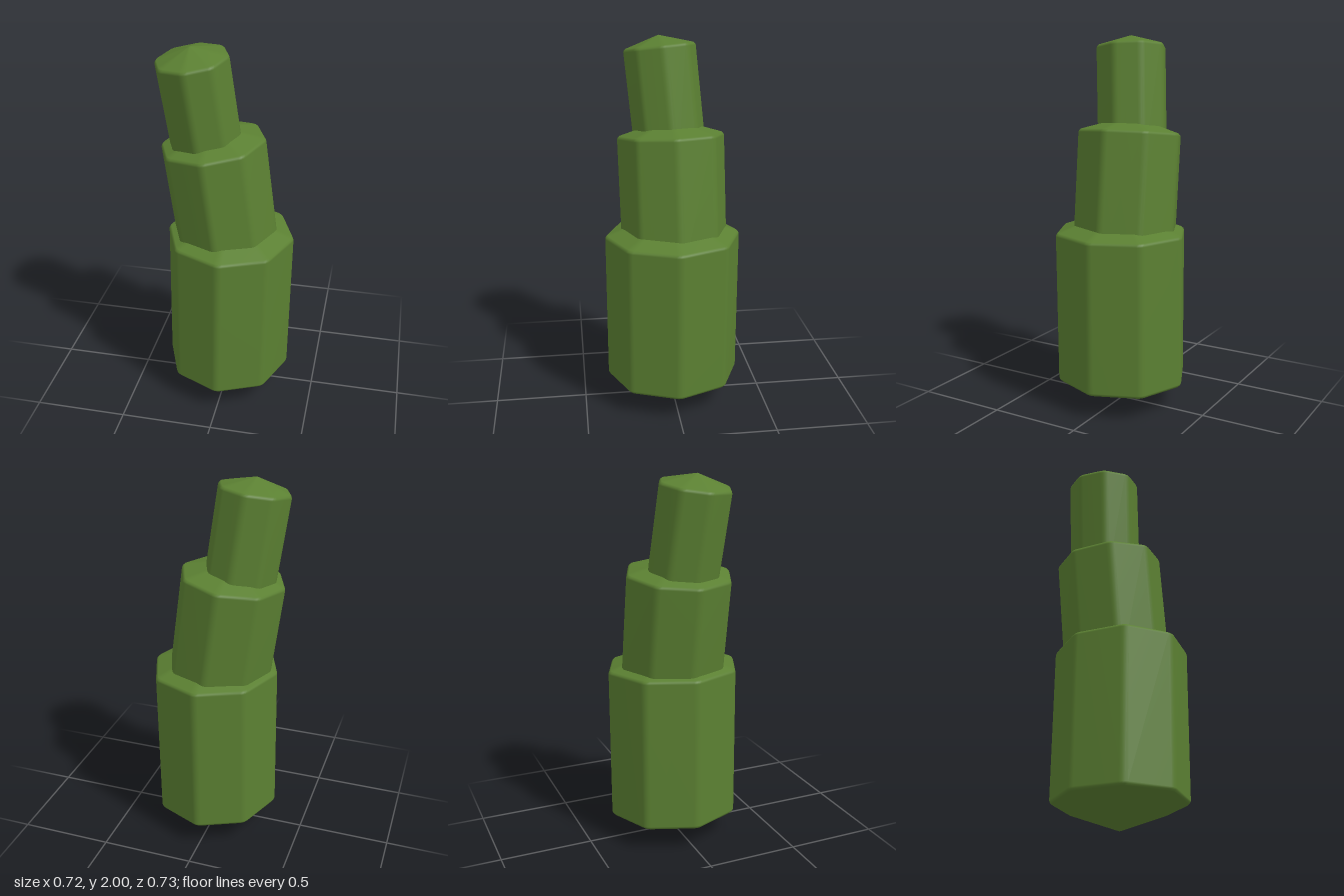
import * as THREE from 'three';

const SIDES = 8;
const BEVEL = 0.024;

// Octagon outline with small rounded corners, as [x, z] pairs
function octagon(rx, rz) {
  const corner = (k) => {
    const a = (k * Math.PI * 2) / SIDES;
    return new THREE.Vector2(Math.cos(a) * rx, Math.sin(a) * rz);
  };
  const points = [];
  for (let k = 0; k < SIDES; k++) {
    const c = corner(k);
    const before = corner(k - 1).sub(c).setLength(BEVEL).add(c);
    const after = corner(k + 1).sub(c).setLength(BEVEL).add(c);
    const curve = new THREE.QuadraticBezierCurve(before, c, after);
    points.push(...curve.getPoints(3));
  }
  return points;
}

// Eight-sided column with bevelled rims and a shallow cone on both ends.
// The rims are centred on y = 0 and y = length.
function columnGeometry(rx, rz, length, bottomCone, topCone) {
  const outline = octagon(rx, rz);
  const n = outline.length;
  const b = 0.012;
  const inset = 1 - b / rx;
  const rings = [
    [0.04, -bottomCone * 0.965], [inset, -b * 0.5], [1 - (b * 0.3) / rx, b * 0.2], [1, b],
    [1, length - b], [1 - (b * 0.3) / rx, length - b * 0.2], [inset, length + b * 0.5],
    [0.04, length + topCone * 0.965],
  ];
  const positions = [];
  const index = [];
  for (const [s, y] of rings) {
    for (const p of outline) positions.push(p.x * s, y, p.y * s);
  }
  for (let i = 0; i < rings.length - 1; i++) {
    for (let j = 0; j < n; j++) {
      const k = (j + 1) % n;
      const a = i * n + j, d = i * n + k;
      index.push(a, a + n, d, d, a + n, d + n);
    }
  }
  // tips
  const bottom = positions.length / 3;
  positions.push(0, -bottomCone, 0, 0, length + topCone, 0);
  const last = (rings.length - 1) * n;
  for (let j = 0; j < n; j++) {
    const k = (j + 1) % n;
    index.push(bottom, j, k);
    index.push(bottom + 1, last + k, last + j);
  }
  const geometry = new THREE.BufferGeometry();
  geometry.setAttribute('position', new THREE.Float32BufferAttribute(positions, 3));
  geometry.setIndex(index);
  geometry.computeVertexNormals(); // area-weighted: flat sides, soft bevels
  return geometry;
}

export function createModel() {
  const group = new THREE.Group();
  const green = new THREE.MeshStandardMaterial({ color: 0x5b8032 });

  // Each segment leans along the line between its two rim centres
  const segments = [
    { name: 'lowerSegment', from: [0.003, 0.14, 0], to: [0.014, 0.965, 0], rx: 0.348, rz: 0.37, cones: [0.14, 0.13] },
    { name: 'middleSegment', from: [0, 0.85, -0.014], to: [-0.082, 1.49, -0.003], rx: 0.283, rz: 0.292, cones: [0.09, 0.09] },
    { name: 'upperSegment', from: [-0.104, 1.38, -0.006], to: [-0.175, 1.943, 0.045], rx: 0.194, rz: 0.197, cones: [0.06, 0.06] },
  ];

  for (const s of segments) {
    const from = new THREE.Vector3(...s.from);
    const axis = new THREE.Vector3(...s.to).sub(from);
    const mesh = new THREE.Mesh(columnGeometry(s.rx, s.rz, axis.length(), ...s.cones), green);
    mesh.name = s.name;
    mesh.position.copy(from);
    mesh.quaternion.setFromUnitVectors(new THREE.Vector3(0, 1, 0), axis.normalize());
    group.add(mesh);
  }
  return group;
}
